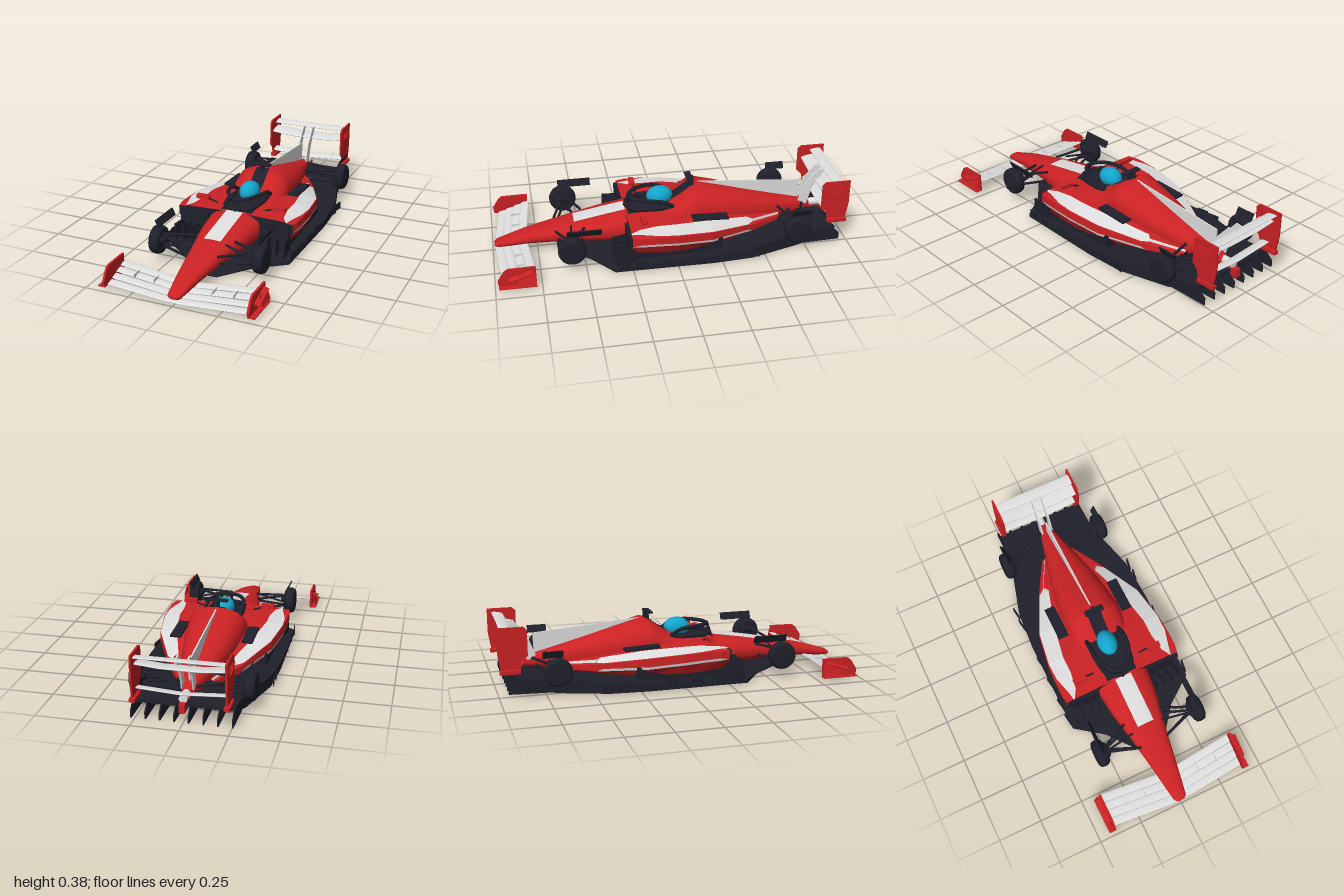
import * as THREE from 'three';

const mat = (name, color, side = THREE.FrontSide) =>
  Object.assign(new THREE.MeshStandardMaterial({ color, side }), { name });

export function createModel() {
  const car = new THREE.Group();
  car.name = 'openWheelRacer';
  const red = mat('racingRed', 0xcb2224, THREE.DoubleSide);
  const white = mat('paleGrey', 0xdedede, THREE.DoubleSide);
  const dark = mat('carbonNavy', 0x20202c, THREE.DoubleSide);
  const cyan = mat('helmetCyan', 0x14a5cc);

  const add = (name, geo, m) => {
    const mesh = new THREE.Mesh(geo, m);
    mesh.name = name;
    car.add(mesh);
    return mesh;
  };

  // Mirrored copy across x = 0 with corrected winding
  const mirrored = (geo) => {
    const g = geo.index ? geo.toNonIndexed() : geo.clone();
    g.scale(-1, 1, 1);
    for (const a of Object.values(g.attributes)) {
      const n = a.itemSize;
      for (let t = 0; t < a.count; t += 3) {
        for (let k = 0; k < n; k++) {
          const p = (t + 1) * n + k, q = p + n, v = a.array[p];
          a.array[p] = a.array[q];
          a.array[q] = v;
        }
      }
    }
    return g;
  };
  const pair = (name, geo, m) => {
    add(name + 'Left', geo, m);
    add(name + 'Right', mirrored(geo), m);
  };

  // Skin over closed rings of [x, y, z]; one material group per ring column
  const loft = (rings, flat = false) => {
    const n = rings[0].length, pos = rings.flat(2), idx = [], groups = [];
    for (let j = 0; j < n; j++) {
      const start = idx.length;
      for (let i = 0; i < rings.length - 1; i++) {
        const a = i * n + j, b = i * n + (j + 1) % n;
        idx.push(a, a + n, b, b, a + n, b + n);
      }
      groups.push([start, idx.length - start, j]);
    }
    const capStart = idx.length;
    [rings[0], rings[rings.length - 1]].forEach((r, e) => {
      const base = pos.length / 3;
      r.forEach((p) => pos.push(...p));
      pos.push(...[0, 1, 2].map((k) => r.reduce((s, p) => s + p[k], 0) / n));
      for (let j = 0; j < n; j++) {
        const a = base + j, b = base + (j + 1) % n;
        idx.push(base + n, ...(e ? [b, a] : [a, b]));
      }
    });
    groups.push([capStart, idx.length - capStart, n]);
    let g = new THREE.BufferGeometry();
    g.setAttribute('position', new THREE.Float32BufferAttribute(pos, 3));
    g.setIndex(idx);
    groups.forEach((q) => g.addGroup(...q));
    if (flat) g = g.toNonIndexed();
    g.computeVertexNormals();
    return g;
  };
  const plain = (g) => (g.clearGroups(), g);

  const box = (w, h, d, x, y, z, rz = 0, ry = 0) =>
    new THREE.BoxGeometry(w, h, d).rotateZ(rz).rotateY(ry).translate(x, y, z);
  const tube = (pts, r, seg = 16) => new THREE.TubeGeometry(
    new THREE.CatmullRomCurve3(pts.map((p) => new THREE.Vector3(...p))), seg, r, 8);
  const rod = (a, b, r) => tube([a, b], r, 1);
  // Upright plate from a [z, y] outline, centred on x
  const plate = (pts, x, t) => new THREE.ExtrudeGeometry(
    new THREE.Shape(pts.map((p) => new THREE.Vector2(...p))), { depth: t, bevelEnabled: false })
    .rotateY(-Math.PI / 2).translate(x + t / 2, 0, 0);

  // Main body: [z, half width, bottom, top]
  const body = [
    [0.99, 0.02, 0.036, 0.052], [0.975, 0.037, 0.03, 0.063], [0.9, 0.05, 0.035, 0.086],
    [0.8, 0.066, 0.045, 0.115], [0.6, 0.1, 0.052, 0.155], [0.4, 0.14, 0.045, 0.19],
    [0.25, 0.157, 0.035, 0.215], [0.1, 0.162, 0.035, 0.225], [0, 0.165, 0.035, 0.24],
    [-0.06, 0.165, 0.04, 0.272], [-0.12, 0.165, 0.04, 0.318], [-0.16, 0.165, 0.04, 0.335],
    [-0.3, 0.15, 0.05, 0.298], [-0.45, 0.125, 0.06, 0.256], [-0.6, 0.088, 0.07, 0.216],
    [-0.78, 0.042, 0.09, 0.17], [-0.84, 0.025, 0.1, 0.15]];
  const N = 2.5, P = 2 / N;
  const pw = (v) => Math.sign(v) * Math.abs(v) ** P;
  add('bodyShell', plain(loft(body.map(([z, w, lo, hi]) => Array.from({ length: 28 }, (_, k) => {
    const a = (k / 28) * Math.PI * 2;
    return [w * pw(Math.cos(a)), (lo + hi) / 2 + ((hi - lo) / 2) * pw(Math.sin(a)), z];
  })))), red);

  // Thin panel lying on the top of the body between two z positions
  const skin = (name, hw, z0, z1, m) => {
    const g = new THREE.PlaneGeometry(1, 1, 10, 20), p = g.attributes.position;
    for (let i = 0; i < p.count; i++) {
      const x = p.getX(i) * 2 * hw, z = z1 + (z0 - z1) * (0.5 - p.getY(i));
      let k = 0;
      while (k < body.length - 2 && body[k + 1][0] > z) k++;
      const f = (body[k][0] - z) / (body[k][0] - body[k + 1][0]);
      const [, w, lo, hi] = body[k].map((v, q) => v + (body[k + 1][q] - v) * f);
      const rise = (1 - Math.min(1, Math.abs(x / w)) ** N) ** (1 / N);
      p.setXYZ(i, x, (lo + hi) / 2 + ((hi - lo) / 2) * rise + 0.004, z);
    }
    g.computeVertexNormals();
    add(name, g, m);
  };
  skin('nosePanel', 0.049, 0.54, 0.25, white);
  skin('cockpitOpening', 0.092, 0.24, 0.0, dark);
  skin('intakePanel', 0.04, 0.0, -0.15, dark);
  add('engineFin', plate([[-0.16, 0.332], [-0.78, 0.282], [-0.775, 0.16], [-0.6, 0.2]], 0, 0.008), white);

  // Sidepods: [z, outer x, band outer x, band inner x, bottom, stripe y, shoulder y, top y]
  const pods = [
    [0.25, 0.345, 0.305, 0.3, 0.1, 0.145, 0.198, 0.203], [0.2, 0.355, 0.315, 0.27, 0.09, 0.142, 0.2, 0.205],
    [0.1, 0.355, 0.342, 0.255, 0.08, 0.138, 0.198, 0.21], [0, 0.35, 0.345, 0.255, 0.075, 0.13, 0.193, 0.21],
    [-0.2, 0.318, 0.314, 0.22, 0.07, 0.112, 0.175, 0.195], [-0.43, 0.215, 0.21, 0.15, 0.07, 0.092, 0.138, 0.155],
    [-0.46, 0.2, 0.175, 0.17, 0.07, 0.09, 0.134, 0.15], [-0.64, 0.1, 0.085, 0.08, 0.075, 0.09, 0.115, 0.125]];
  const podGeo = loft(pods.map(([z, xo, x2, x1, yb, yl, ys, yt]) => {
    const t = z > -0.45 && z < 0.22 ? 0.015 : 0.001;
    return [[0.05, yb, z], [xo - 0.035, yb, z], [xo - 0.004, yl, z], [xo, yl + t, z],
      [xo - 0.001, ys - 0.004, z], [x2, ys, z], [x1, yt, z], [0.05, yt + 0.008, z]];
  }), true);
  pair('sidepod', podGeo, [red, red, white, red, red, white, red, red, dark]);
  pair('sidepodUndercut', box(0.27, 0.1, 0.52, 0.165, 0.075, 0), dark);
  pair('sidepodInlet', box(0.17, 0.08, 0.03, 0.24, 0.15, 0.252), dark);
  pair('coolingLouvre', box(0.06, 0.012, 0.2, 0.2, 0.214, -0.2).rotateX(-0.04), dark);
  pair('bargeboard', box(0.012, 0.1, 0.11, 0.32, 0.07, 0.285, 0, 0.1), dark);
  for (const x of [0.17, 0.22, 0.27]) pair('turningVane', box(0.01, 0.1, 0.09, x, 0.07, 0.3, 0, 0.2), dark);

  // Floor rising to the diffuser: [z, half width, bottom, top]
  add('floor', plain(loft([
    [0.64, 0.07, 0.008, 0.014], [0.465, 0.21, 0.008, 0.018], [0.35, 0.365, 0.008, 0.028],
    [-0.2, 0.37, 0.008, 0.05], [-0.42, 0.355, 0.008, 0.07], [-0.7, 0.275, 0.012, 0.09],
    [-0.78, 0.267, 0.04, 0.095], [-0.9, 0.262, 0.085, 0.105],
  ].map(([z, w, lo, hi]) => [[w, lo, z], [w, hi, z], [-w, hi, z], [-w, lo, z]]), true)), dark);
  add('plank', box(0.2, 0.008, 0.9, 0, 0.006, 0), dark);
  for (let i = 0; i < 4; i++) {
    pair('diffuserStrake', plate([[-0.66, 0.012], [-0.95, 0.02], [-0.95, 0.06], [-0.9, 0.105], [-0.7, 0.085]],
      0.037 + i * 0.074, 0.007), dark);
  }
  for (const z of [-0.42, -0.34, -0.08, 0.06, 0.2, 0.3]) {
    pair('floorEdgeFin', box(0.006, 0.04, 0.07, 0.37, 0.045, z, 0, -0.15), dark);
  }

  // Driver, head protection, camera and mirrors
  add('helmet', new THREE.SphereGeometry(1, 28, 18).scale(0.055, 0.056, 0.075).translate(0, 0.262, 0.045), cyan);
  add('haloHoop', tube([[-0.1, 0.235, -0.02], [-0.105, 0.27, 0.04], [-0.095, 0.28, 0.12], [-0.05, 0.278, 0.2],
    [0, 0.274, 0.225], [0.05, 0.278, 0.2], [0.095, 0.28, 0.12], [0.105, 0.27, 0.04], [0.1, 0.235, -0.02]], 0.011, 40), dark);
  add('haloPillar', rod([0, 0.274, 0.225], [0, 0.21, 0.25], 0.009), dark);
  pair('cockpitRim', tube([[0.09, 0.225, -0.02], [0.095, 0.228, 0.1], [0.07, 0.226, 0.21], [0, 0.224, 0.24]], 0.014), dark);
  add('cameraStalk', box(0.02, 0.045, 0.03, 0, 0.345, -0.135), dark);
  add('cameraPod', box(0.11, 0.009, 0.035, 0, 0.364, -0.125), dark);
  pair('mirror', box(0.075, 0.022, 0.03, 0.23, 0.238, 0.17), red);
  pair('mirrorStalk', rod([0.12, 0.2, 0.16], [0.21, 0.235, 0.165], 0.005), dark);

  // Wheels, deflectors and suspension
  const tyre = [[0.001, -0.03], [0.06, -0.032], [0.073, -0.024], [0.078, -0.008], [0.078, 0.008],
    [0.073, 0.024], [0.06, 0.031], [0.03, 0.026], [0.001, 0.03]].map((p) => new THREE.Vector2(...p));
  for (const [end, z] of [['front', 0.575], ['rear', -0.69]]) {
    pair(end + 'Wheel', new THREE.LatheGeometry(tyre, 32).rotateZ(-Math.PI / 2).translate(0.3, 0.132, z), dark);
    pair(end + 'BrakeDuct', new THREE.SphereGeometry(1, 14, 10).scale(0.028, 0.018, 0.05).translate(0.27, 0.145, z), dark);
    const len = z > 0 ? 0.19 : 0.11;
    pair(end + 'WheelDeflector', box(0.007, 0.044, len, 0.294, 0.231, z > 0 ? 0.505 : -0.715, -0.45), dark);
    pair(end + 'DeflectorStay', rod([0.27, 0.15, z], [0.285, 0.215, z], 0.005), dark);
  }
  const arms = [
    [0.08, 0.13, 0.645, 0.57], [0.11, 0.155, 0.49, 0.57], [0.07, 0.09, 0.64, 0.57], [0.1, 0.09, 0.5, 0.57],
    [0.04, 0.15, -0.79, -0.7], [0.06, 0.16, -0.63, -0.69], [0.04, 0.11, -0.77, -0.7], [0.06, 0.1, -0.62, -0.69]];
  for (const [x, y, z, zw] of arms) {
    pair('wishbone', rod([x, y, z], [0.285, y > 0.12 ? 0.165 : 0.1, zw], 0.0075), dark);
  }
  pair('frontPushrod', rod([0.09, 0.165, 0.56], [0.28, 0.11, 0.58], 0.006), dark);
  pair('rearDriveshaft', rod([0.04, 0.13, -0.7], [0.285, 0.132, -0.69], 0.009), dark);

  // Wing element across x: [x, y, z] stations, chord, thickness and rise toward the back
  const wing = (stations, chord, t, rise) => plain(loft(stations.map(([x, y, z]) =>
    Array.from({ length: 14 }, (_, k) => {
      const a = (k / 14) * Math.PI * 2, dz = (chord / 2) * Math.sin(a);
      return [x, y + t * Math.cos(a) - dz * rise, z + dz];
    }))));

  // Front wing
  for (let i = 0; i < 4; i++) {
    const y = 0.018 + i * 0.011, yt = 0.025 + i * 0.016, z = 0.962 - i * 0.045;
    add('frontWingElement', wing([[0.395, yt, z - 0.03], [0.06, y, z], [-0.06, y, z], [-0.395, yt, z - 0.03]],
      0.046, 0.004, 0.2), white);
  }
  for (const x of [0.033, 0.165, 0.28]) {
    pair('frontWingBracket', box(0.004, 0.022, 0.06, x, 0.045 + x * 0.04, 0.855), white);
  }
  pair('frontEndplate', plate([[0.78, 0.015], [0.98, 0.015], [0.985, 0.05], [0.95, 0.105], [0.93, 0.12], [0.78, 0.122]],
    0.402, 0.012), red);
  pair('frontEndplateFoot', box(0.04, 0.006, 0.2, 0.416, 0.018, 0.88), red);
  pair('divePlane', box(0.032, 0.006, 0.13, 0.42, 0, 0, -0.35).rotateX(0.3).translate(0, 0.08, 0.86), red);
  pair('endplateFin', box(0.006, 0.06, 0.1, 0.425, 0.06, 0.83, 0.25), red);

  // Rear wing
  add('rearMainPlane', wing([[0.235, 0.31, -0.91], [0.1, 0.298, -0.91], [-0.1, 0.298, -0.91], [-0.235, 0.31, -0.91]],
    0.1, 0.008, 0.15), white);
  add('rearFlap', wing([[0.235, 0.352, -0.945], [-0.235, 0.352, -0.945]], 0.065, 0.006, 0.15), white);
  add('rearBeamWing', wing([[0.235, 0.175, -0.91], [0, 0.16, -0.91], [-0.235, 0.175, -0.91]], 0.06, 0.006, 0.2), white);
  pair('rearEndplate', plate([[-0.84, 0.36], [-0.86, 0.378], [-1, 0.378], [-1, 0.24], [-0.985, 0.15],
    [-0.88, 0.15], [-0.87, 0.19], [-0.84, 0.22]], 0.238, 0.01), red);
  pair('rearEndplateFoot', box(0.03, 0.02, 0.11, 0.238, 0.135, -0.935), red);
  for (let i = 0; i < 4; i++) {
    pair('endplateLouvre', box(0.006, 0.004, 0.08, 0.245, 0.3 + i * 0.013, -0.92), red);
  }
  pair('rearWingPylon', plate([[-0.76, 0.14], [-0.82, 0.14], [-0.85, 0.24], [-0.92, 0.35], [-0.88, 0.355], [-0.81, 0.27]],
    0.03, 0.008), white);
  add('exhaust', new THREE.CylinderGeometry(0.022, 0.022, 0.1, 20).rotateX(Math.PI / 2).translate(0, 0.13, -0.86), white);
  add('rearCrashBlock', box(0.03, 0.05, 0.1, 0, 0.09, -0.89), red);

  return car;
}
